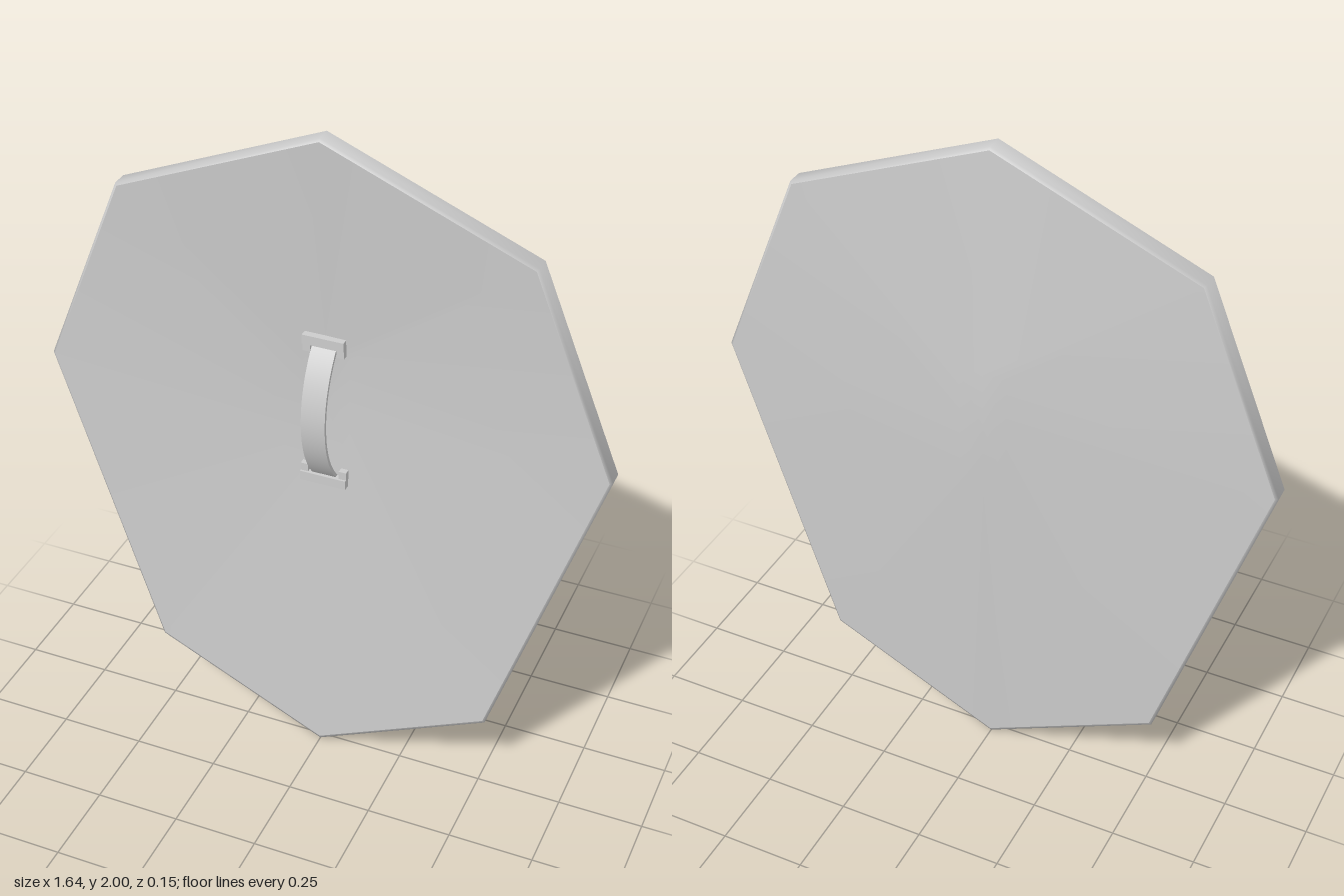
import * as THREE from 'three';
import { toCreasedNormals } from 'three/addons/utils/BufferGeometryUtils.js';

const material = new THREE.MeshStandardMaterial({ color: 0xcccccc });
const CY = 1.18; // height of the shield's centre

// Half outline from top to bottom, then mirrored: eight corners, clockwise from the front
const half = [[0, 2], [0.585, 1.76], [0.82, CY], [0.515, 0.245], [0, 0]];
const outline = [...half, ...half.slice(1, 4).reverse().map(([x, y]) => [-x, y])];

// Outline drawn in by a fraction towards the centre, at depth z
const rim = (scale, z) => outline.map(([x, y]) => [x * scale, CY + (y - CY) * scale, z]);

// Small flat boss rectangle at the centre, with one point per outline corner
const boss = (w, h, z) => outline.map(([x, y]) => [Math.sign(x) * w, CY + Math.sign(y - CY) * h, z]);

// Smooth skin through rings of equal length
function loft(rings) {
  const n = rings[0].length;
  const index = [];
  for (let k = 0; k < rings.length - 1; k++) {
    for (let i = 0; i < n; i++) {
      const j = (i + 1) % n, a = k * n, b = a + n;
      index.push(a + j, a + i, b + i, a + j, b + i, b + j);
    }
  }
  const geometry = new THREE.BufferGeometry();
  geometry.setAttribute('position', new THREE.Float32BufferAttribute(rings.flat(2), 3));
  geometry.setIndex(index);
  geometry.computeVertexNormals();
  return geometry;
}

function add(parent, name, geometry, x = 0, y = 0, z = 0) {
  const mesh = new THREE.Mesh(geometry, material);
  mesh.name = name;
  mesh.position.set(x, y, z);
  parent.add(mesh);
  return mesh;
}

export function createModel() {
  const model = new THREE.Group();
  model.name = 'shield';

  // Shell: domed back, narrow bevelled edge, dished front
  const backRim = rim(0.99, -0.032), frontRim = rim(0.99, 0.025);
  add(model, 'shieldBack', loft([boss(0, 0, -0.076), boss(0.07, 0.17, -0.075), backRim]));
  add(model, 'shieldEdge', loft([backRim, rim(1, -0.026), rim(1, 0.019), frontRim]));
  add(model, 'shieldFront', loft([frontRim, boss(0.07, 0.17, -0.022), boss(0, 0, -0.023)]));

  // Handle: bowed strap swept along an arc
  const handle = new THREE.Group();
  handle.name = 'handle';
  model.add(handle);
  const R = 0.314, T = 0.01, A = 0.776, W = 0.07;
  const band = new THREE.Shape();
  band.absarc(0, 0, R, -A, A, false);
  band.absarc(0, 0, R - T, A, -A, true);
  const strap = new THREE.ExtrudeGeometry(band, { depth: W, bevelEnabled: false, curveSegments: 20 });
  strap.rotateY(-Math.PI / 2);
  add(handle, 'strap', toCreasedNormals(strap, 0.5), W / 2, CY - 0.01, 0.07 - R);

  // Brackets holding the strap ends, each a crossbar with two lugs
  for (const [name, s, y, w] of [['upperBracket', 1, 1.395, 0.12], ['lowerBracket', -1, 0.95, 0.136]]) {
    const bracket = new THREE.Group();
    bracket.name = name;
    bracket.position.y = y;
    handle.add(bracket);
    add(bracket, 'crossbar', new THREE.BoxGeometry(w, 0.028, 0.03), 0, 0, -0.012);
    for (const side of [-1, 1]) {
      add(bracket, 'lug', new THREE.BoxGeometry(0.022, 0.04, 0.024), side * (w / 2 - 0.011), -s * 0.018, -0.015);
    }
  }
  return model;
}
